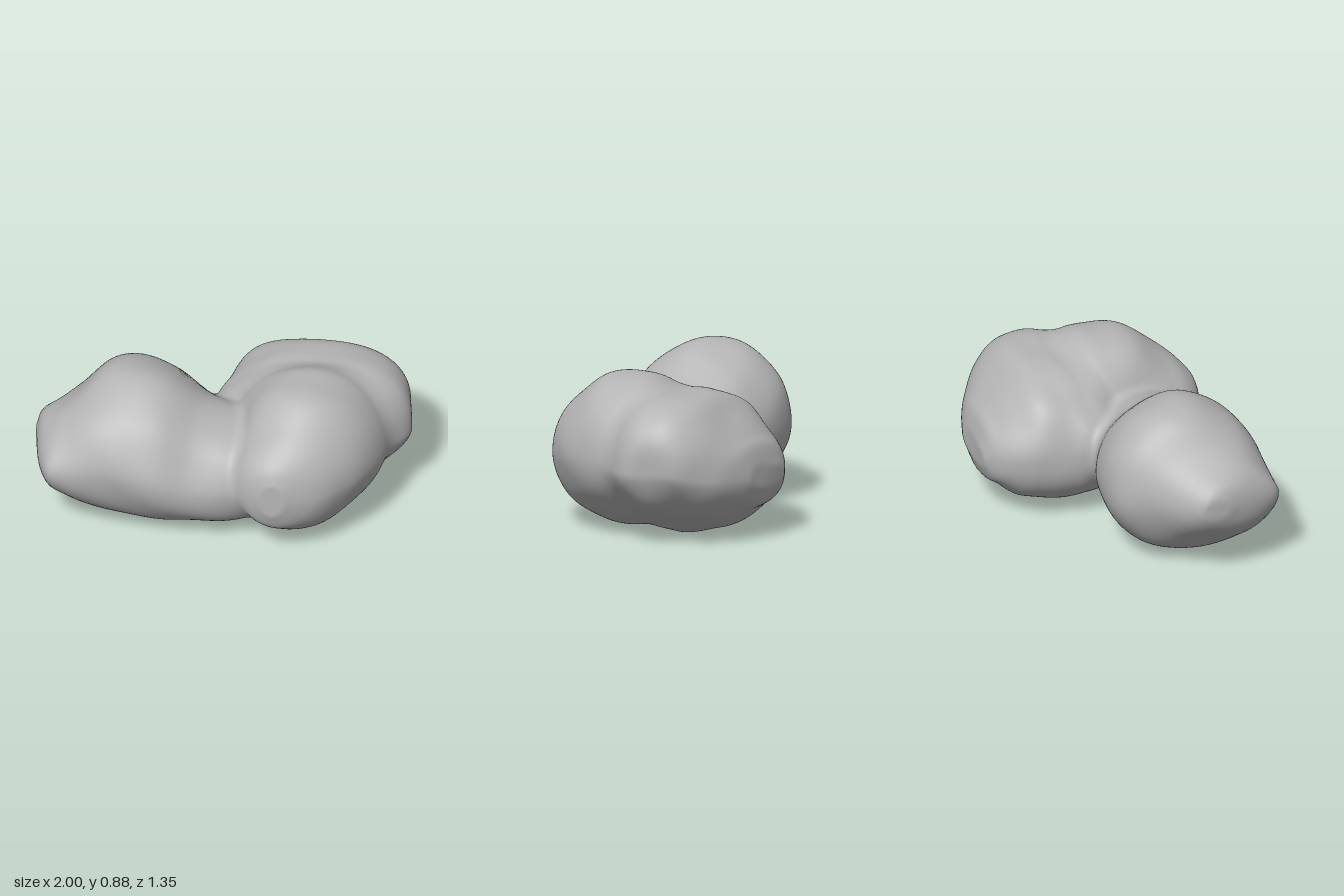
import * as THREE from 'three';
import { mergeVertices } from 'three/addons/utils/BufferGeometryUtils.js';

// Each lobe is a row of oval sections along one axis.
// Section: [position on the axis, lowest y, highest y, least side, greatest side]
// Roundness: exponent of the oval in the corners (-side,-y) (+side,-y) (-side,+y) (+side,+y)
const body = {
  axis: 'x', side: 'z', roundness: [2, 2, 2, 1.75],
  sections: [
    [-1, 0.38, 0.52, 0.14, 0.32],
    [-0.97, 0.31, 0.57, 0.11, 0.46],
    [-0.9, 0.23, 0.62, 0.04, 0.61],
    [-0.8, 0.15, 0.7, -0.05, 0.64],
    [-0.65, 0.05, 0.84, -0.2, 0.645],
    [-0.5, 0.01, 0.88, -0.24, 0.65],
    [-0.28, 0.005, 0.83, -0.2, 0.655],
    [-0.1, 0.03, 0.71, -0.13, 0.61],
    [0.1, 0.05, 0.65, -0.11, 0.57],
    [0.3, 0.1, 0.6, 0, 0.5],
  ],
};
const headFront = {
  axis: 'z', side: 'x', roundness: [2, 1.75, 2, 2],
  sections: [
    [-0.3, 0.2, 0.6, 0.2, 0.75],
    [-0.2, 0.08, 0.74, 0.1, 0.87],
    [-0.03, 0.04, 0.855, 0.05, 0.905],
    [0.1, 0.02, 0.87, 0.05, 0.9],
    [0.25, 0.03, 0.85, 0.08, 0.85],
    [0.42, 0.08, 0.74, 0.12, 0.75],
    [0.55, 0.17, 0.63, 0.16, 0.62],
    [0.6, 0.22, 0.57, 0.22, 0.52],
    [0.63, 0.3, 0.5, 0.3, 0.44],
  ],
};
const headRear = {
  axis: 'z', side: 'x', roundness: [2.6, 1.5, 2, 2.7],
  sections: [
    [-0.68, 0.28, 0.42, 0.18, 0.52],
    [-0.65, 0.2, 0.52, 0.13, 0.6],
    [-0.6, 0.16, 0.58, 0.07, 0.72],
    [-0.5, 0.08, 0.69, 0, 0.86],
    [-0.4, 0.05, 0.78, -0.04, 0.94],
    [-0.25, 0.012, 0.805, -0.07, 0.99],
    [-0.15, 0.02, 0.8, -0.09, 1],
    [-0.02, 0.05, 0.77, -0.06, 0.92],
    [0.1, 0.15, 0.65, 0.05, 0.8],
  ],
};

// Distance-like field of one lobe: negative inside, positive outside
function lobeField({ axis, side, roundness, sections }) {
  const stations = sections.map(s => s[0]);
  const curve = new THREE.CubicInterpolant(stations, sections.flatMap(s => s.slice(1)), 4, new Float32Array(4));
  const first = stations[0], last = stations[stations.length - 1];
  return p => {
    const t = p[axis];
    const [low, high, least, greatest] = curve.evaluate(THREE.MathUtils.clamp(t, first, last - 1e-4));
    const rs = (greatest - least) / 2, ry = (high - low) / 2;
    const u = (p[side] - least) / rs - 1, v = (p.y - low) / ry - 1;
    const e = roundness[(u > 0 ? 1 : 0) + (v > 0 ? 2 : 0)];
    const oval = (Math.abs(u) ** e + Math.abs(v) ** e) ** (1 / e);
    return Math.max((oval - 1) * Math.min(rs, ry), first - t, t - last);
  };
}

// Join two fields with a soft seam of width k
function smoothMin(a, b, k) {
  const t = Math.max(k - Math.abs(a - b), 0) / k;
  return Math.min(a, b) - t * t * k / 4;
}

// Gentle lumps and dents
const lumps = p => 0.006 * Math.sin(9 * p.x + 4 * p.y + 1) * Math.sin(8 * p.y - 5 * p.z)
  + 0.005 * Math.sin(15 * p.z + 6 * p.x) * Math.sin(13 * p.y + 7 * p.x + 2);

// Push a dense sphere out from the neck onto the surface of the field
function rockGeometry(field) {
  const sphere = new THREE.IcosahedronGeometry(1, 44);
  sphere.deleteAttribute('normal');
  sphere.deleteAttribute('uv');
  const geometry = mergeVertices(sphere);
  const pos = geometry.attributes.position;
  const origin = new THREE.Vector3(0.15, 0.42, 0.1);
  const dir = new THREE.Vector3(), p = new THREE.Vector3();
  const at = t => field(p.copy(origin).addScaledVector(dir, t));
  for (let i = 0; i < pos.count; i++) {
    dir.fromBufferAttribute(pos, i).normalize();
    let outside = 1.4;
    while (outside > 0.1 && at(outside - 0.03) > 0) outside -= 0.03;
    let inside = outside - 0.03;
    for (let step = 0; step < 10; step++) {
      const mid = (inside + outside) / 2;
      if (at(mid) > 0) outside = mid;
      else inside = mid;
    }
    p.copy(origin).addScaledVector(dir, inside);
    pos.setXYZ(i, p.x, p.y, p.z);
  }
  geometry.computeVertexNormals();
  return geometry;
}

export function createModel() {
  const [bodyField, frontField, rearField] = [body, headFront, headRear].map(lobeField);
  const field = p => smoothMin(bodyField(p), smoothMin(frontField(p), rearField(p), 0.05), 0.06) + lumps(p);

  const stone = new THREE.MeshStandardMaterial({ color: 0xb4b4b4 });
  stone.name = 'grey stone';
  const rock = new THREE.Mesh(rockGeometry(field), stone);
  rock.name = 'twoLobedRock';
  const group = new THREE.Group();
  group.name = 'asteroid';
  group.add(rock);
  return group;
}
